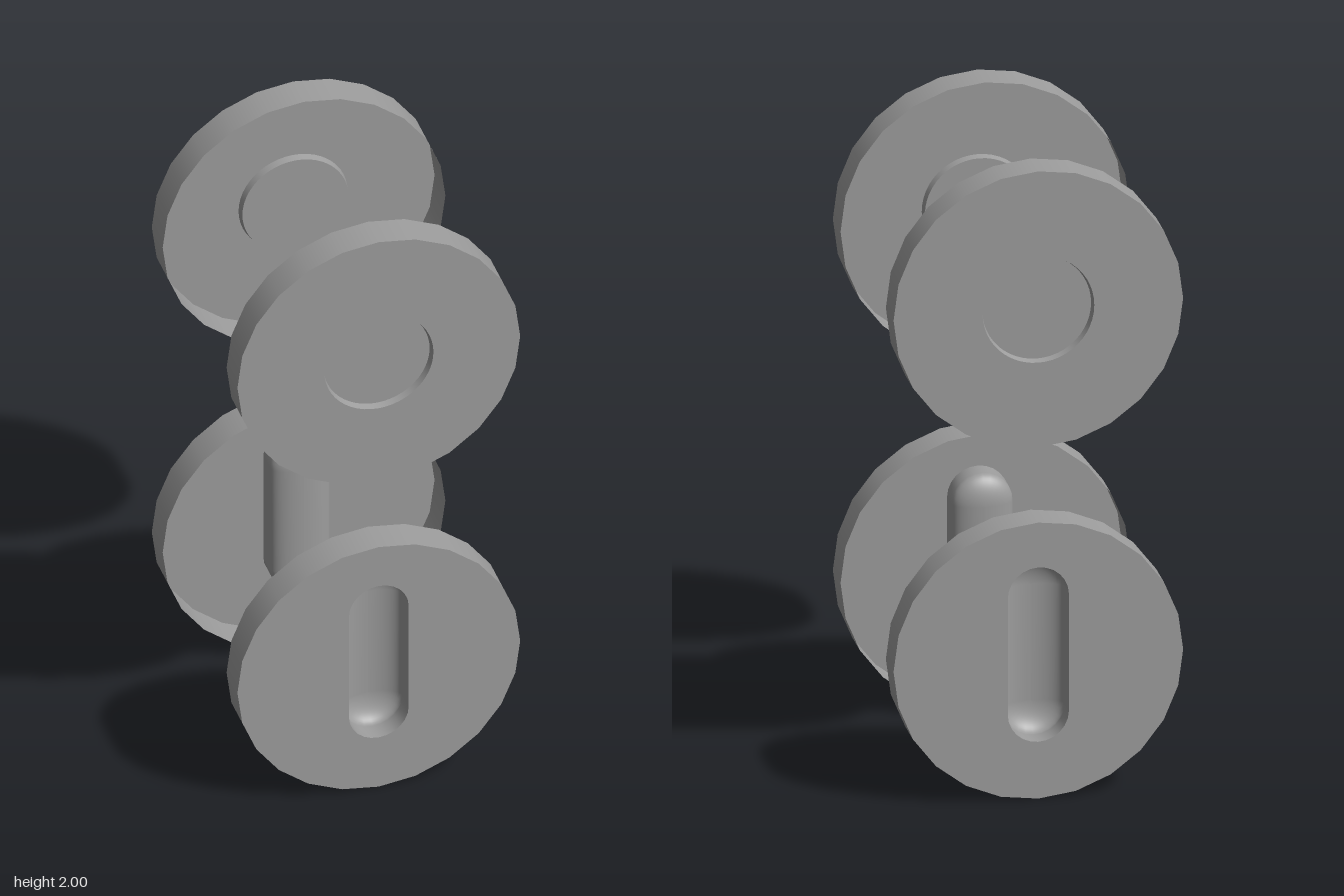
import * as THREE from 'three';

const R = 0.44, SIDES = 24, FACE_Z = 0.425, DEPTH = 0.108;
const material = new THREE.MeshStandardMaterial({ color: 0x9d9d9d, side: THREE.DoubleSide });

function add(group, name, geometry, z = 0) {
  const mesh = new THREE.Mesh(geometry, material);
  mesh.name = name;
  mesh.position.z = z;
  group.add(mesh);
}

// Stadium outline: half width w around a vertical segment of half length h
function stadium(w, h, cy, steps = 12) {
  const pts = [];
  for (const end of [0, 1]) {
    for (let i = 0; i <= steps; i++) {
      const a = Math.PI * (end + i / steps);
      pts.push(new THREE.Vector2(w * Math.cos(a), cy + (end ? -h : h) + w * Math.sin(a)));
    }
  }
  return pts;
}

// Thin outer face with one opening
function faceGeometry(holePoints) {
  const rim = [];
  for (let i = 0; i < SIDES; i++) {
    const a = (i / SIDES) * Math.PI * 2;
    rim.push(new THREE.Vector2(R * Math.cos(a), R * Math.sin(a)));
  }
  const shape = new THREE.Shape(rim);
  shape.holes.push(new THREE.Path(holePoints));
  return new THREE.ShapeGeometry(shape);
}

// Finger pocket: a straight wall, then shrinking stadium rings form a shallow bowl
function pocketGeometry(w, h, cy, wall, bowl, rings = 14) {
  const pos = [], index = [];
  const profile = [[1, 0]];
  for (let r = 0; r <= rings; r++) {
    const a = (r / rings) * Math.PI / 2;
    profile.push([Math.cos(a), -wall - bowl * Math.sin(a)]);
  }
  const n = stadium(w, h, cy).length;
  for (const [scale, z] of profile) {
    for (const p of stadium(w * scale, h, cy)) pos.push(p.x, p.y, z);
  }
  for (let r = 0; r < profile.length - 1; r++) {
    for (let i = 0; i < n; i++) {
      const a = r * n + i, b = r * n + (i + 1) % n;
      index.push(a, b, a + n, b, b + n, a + n);
    }
  }
  const g = new THREE.BufferGeometry();
  g.setAttribute('position', new THREE.Float32BufferAttribute(pos, 3));
  g.setIndex(index);
  g.computeVertexNormals();
  return g;
}

// Open-backed cup shared by every disc
function cup(name, holePoints) {
  const group = new THREE.Group();
  group.name = name;
  add(group, 'face', faceGeometry(holePoints), FACE_Z);
  const rim = new THREE.CylinderGeometry(R, R, DEPTH, SIDES, 1, true).rotateX(Math.PI / 2);
  add(group, 'rim', rim, FACE_Z - DEPTH / 2);
  return group;
}

// Upper disc with a shallow round recess
function roundDisc() {
  const r = 0.17, floorR = 0.165, d = 0.022, seg = 48;
  const hole = Array.from({ length: seg }, (_, i) => {
    const a = (i / seg) * Math.PI * 2;
    return new THREE.Vector2(r * Math.cos(a), r * Math.sin(a));
  });
  const group = cup('roundRecessDisc', hole);
  const wall = new THREE.CylinderGeometry(r, floorR, d, seg, 1, true).rotateX(Math.PI / 2);
  add(group, 'recessWall', wall, FACE_Z - d / 2);
  add(group, 'recessFloor', new THREE.CircleGeometry(floorR, seg), FACE_Z - d);
  group.position.y = 2 - R;
  return group;
}

// Lower disc with an upright finger pocket
function slotDisc() {
  const w = 0.093, h = 0.185, cy = 0.019;
  const group = cup('fingerSlotDisc', stadium(w, h, cy));
  add(group, 'fingerPocket', pocketGeometry(w, h, cy, 0.06, 0.047), FACE_Z);
  group.position.y = R;
  return group;
}

export function createModel() {
  const model = new THREE.Group();
  model.name = 'recessedDiscSet';
  // Front pair and the same pair turned to the back
  for (const [name, turn] of [['frontPair', 0], ['backPair', Math.PI]]) {
    const pair = new THREE.Group();
    pair.name = name;
    pair.add(roundDisc(), slotDisc());
    pair.rotation.y = turn;
    model.add(pair);
  }
  return model;
}
